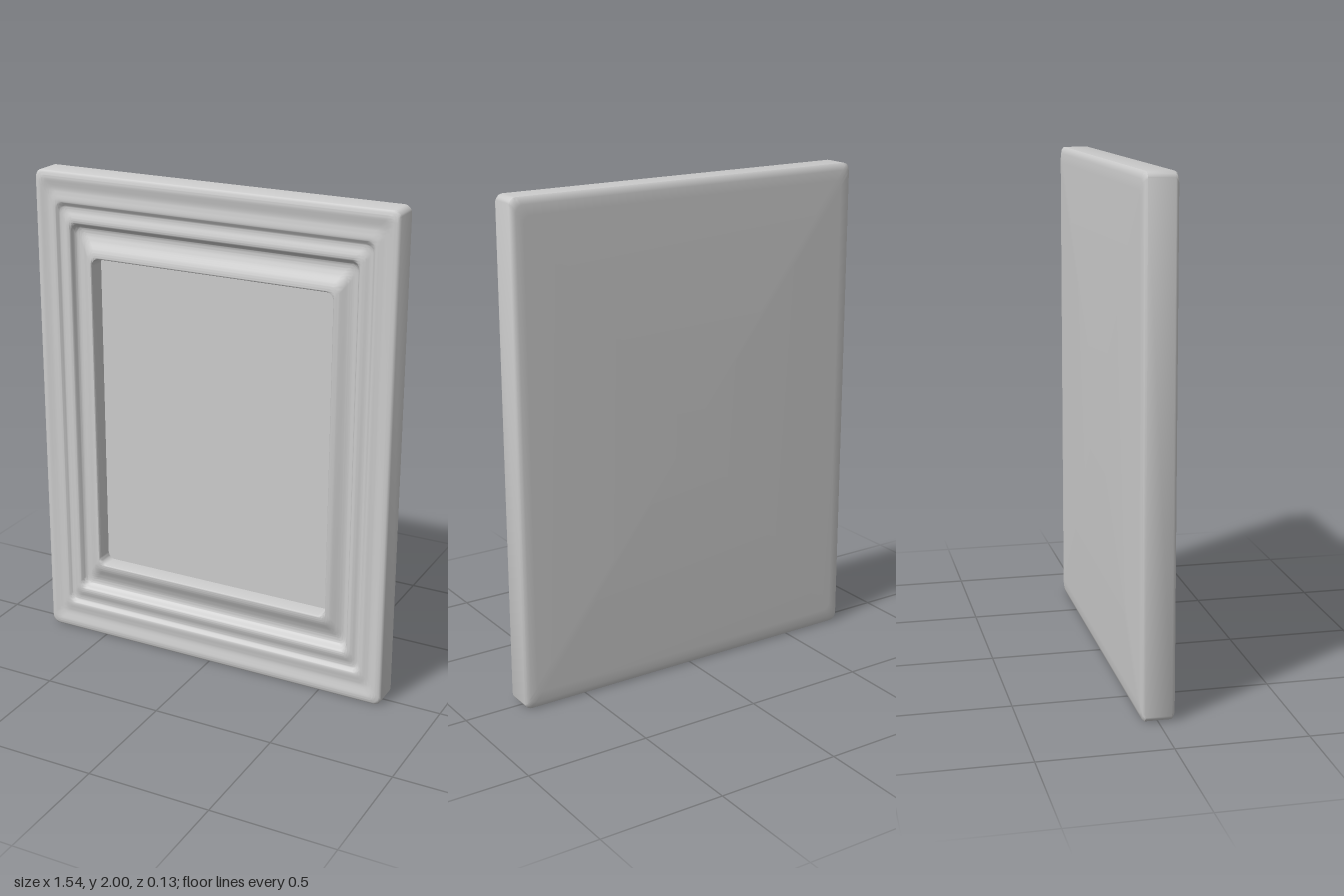
import * as THREE from 'three';
import { toCreasedNormals } from 'three/addons/utils/BufferGeometryUtils.js';

const HALF_W = 0.77, HALF_H = 1, CORNER_STEPS = 6;
const INSET_RATIO = 1.33; // rails are wider than stiles

// Rounded rectangle loop, counter-clockwise seen from the front
function ring(w, h, r, z) {
  const points = [];
  const corners = [[1, 1], [-1, 1], [-1, -1], [1, -1]];
  corners.forEach(([sx, sy], c) => {
    for (let k = 0; k <= CORNER_STEPS; k++) {
      const a = (c + k / CORNER_STEPS) * Math.PI / 2;
      points.push([sx * (w - r) + r * Math.cos(a), sy * (h - r) + r * Math.sin(a), z]);
    }
  });
  return points;
}

const mouldingRing = (inset, z, r = 0.03) =>
  ring(HALF_W - inset, HALF_H - inset * INSET_RATIO, r, z);

// Skin consecutive loops into one surface
function loft(rings) {
  const n = rings[0].length, index = [];
  for (let i = 0; i < rings.length - 1; i++) {
    for (let j = 0; j < n; j++) {
      const a = i * n + j, b = i * n + (j + 1) % n;
      index.push(a, b, b + n, a, b + n, a + n);
    }
  }
  const geometry = new THREE.BufferGeometry();
  geometry.setAttribute('position', new THREE.Float32BufferAttribute(rings.flat(2), 3));
  geometry.setIndex(index);
  return toCreasedNormals(geometry, 0.7);
}

export function createModel() {
  const group = new THREE.Group();
  const material = new THREE.MeshStandardMaterial({ color: 0xcccccc });

  // Moulding section: inset from the outer edge, height
  const section = [
    [0.008, 0.061], [0.02, 0.064], [0.055, 0.056], [0.09, 0.061], [0.104, 0.049],
    [0.116, 0.049], [0.138, 0.058], [0.15, 0.057], [0.165, 0.031], [0.18, 0.027],
    [0.2, 0.035], [0.232, 0.056], [0.246, 0.06],
  ];
  const curve = new THREE.CatmullRomCurve3(
    section.map(([d, z]) => new THREE.Vector3(d, z, 0)), false, 'centripetal');

  // Frame: flat back, eased edges, moulded face, opening wall
  const rings = [
    ring(0, 0, 0, -0.066),
    mouldingRing(0.05, -0.066),
    mouldingRing(0.02, -0.064),
    mouldingRing(0.006, -0.059),
    mouldingRing(0, -0.05),
    mouldingRing(0, 0.05),
    mouldingRing(0.002, 0.056),
    ...curve.getPoints(72).map((p) => mouldingRing(p.x, p.y)),
    mouldingRing(0.25, 0.057),
    mouldingRing(0.252, 0.05),
    mouldingRing(0.252, -0.02),
  ];
  const frame = new THREE.Mesh(loft(rings), material);
  frame.name = 'mouldedFrame';

  // Recessed panel inside the opening
  const panel = new THREE.Mesh(new THREE.BoxGeometry(1.08, 1.38, 0.04), material);
  panel.position.z = -0.03;
  panel.name = 'recessedPanel';

  group.add(frame, panel);
  group.position.y = HALF_H;
  const model = new THREE.Group();
  model.name = 'panelFrame';
  model.add(group);
  return model;
}
